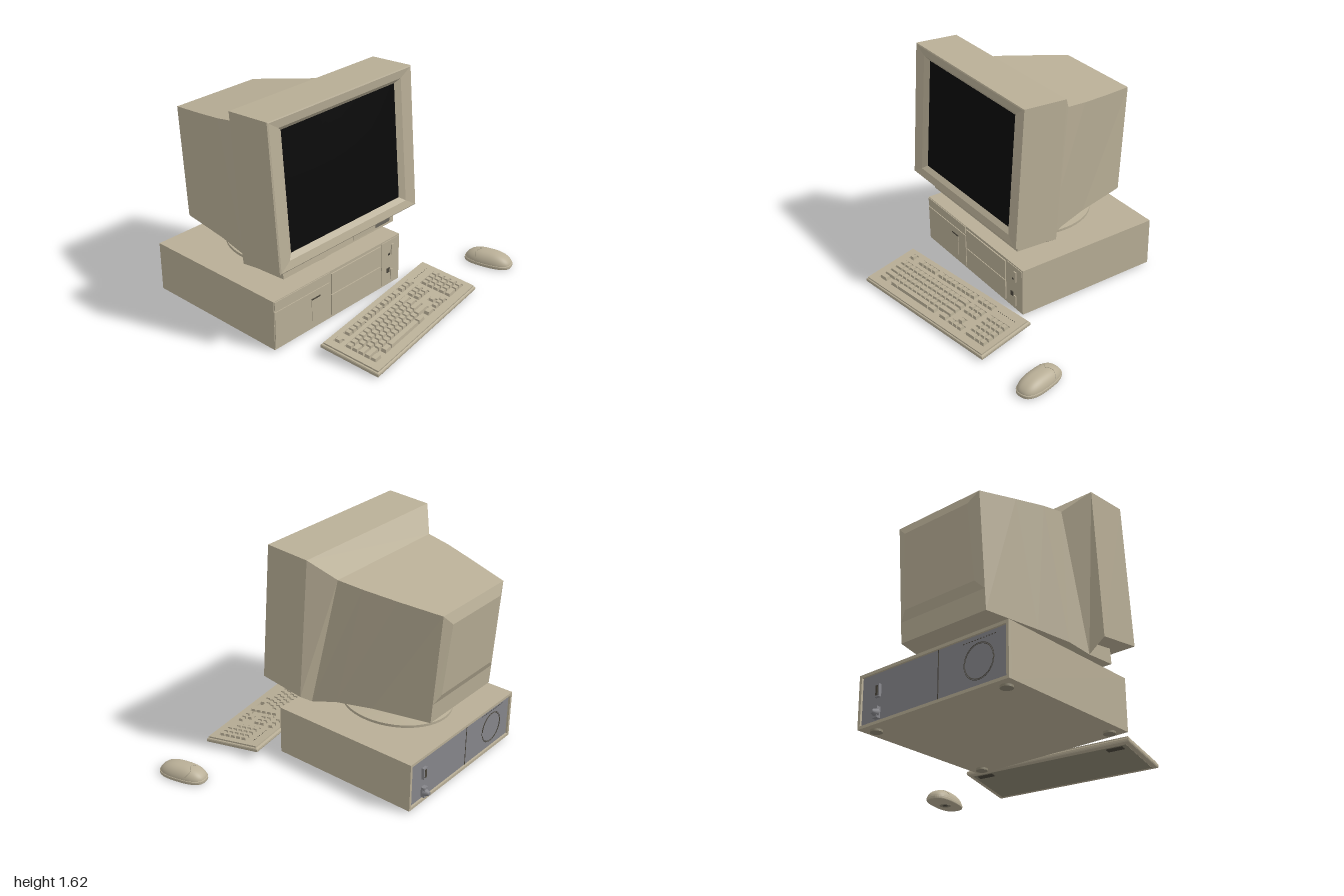
import * as THREE from 'three';
import { mergeGeometries } from 'three/addons/utils/BufferGeometryUtils.js';

const mat = (color) => new THREE.MeshStandardMaterial({ color, side: THREE.DoubleSide });
const beige = mat(0xb8ae96), shade = mat(0x8d8672), dark = mat(0x4a463c), black = mat(0x0a0a0a), grey = mat(0x85858a);

function add(parent, name, geometry, material, x = 0, y = 0, z = 0) {
  const m = new THREE.Mesh(geometry, material);
  m.name = name;
  m.position.set(x, y, z);
  parent.add(m);
  return m;
}
// Box given by its limits
function slab(parent, name, material, x0, x1, y0, y1, z0, z1) {
  return add(parent, name, new THREE.BoxGeometry(x1 - x0, y1 - y0, z1 - z0), material, (x0 + x1) / 2, (y0 + y1) / 2, (z0 + z1) / 2);
}
// Flat-faced loft through four-cornered sections, front to back:
// [centre x, half width top, half width bottom, y top, z top, y bottom, z bottom]
function loft(sections, frontCap, backCap) {
  const rings = sections.map(([c, ht, hb, yt, zt, yb, zb]) => [[c - hb, yb, zb], [c + hb, yb, zb], [c + ht, yt, zt], [c - ht, yt, zt]]);
  const pos = [];
  const quad = (a, b, c, d) => pos.push(...a, ...b, ...c, ...a, ...c, ...d);
  for (let i = 0; i + 1 < rings.length; i++) {
    for (let j = 0; j < 4; j++) {
      const k = (j + 1) % 4;
      quad(rings[i][j], rings[i + 1][j], rings[i + 1][k], rings[i][k]);
    }
  }
  const last = rings[rings.length - 1];
  if (frontCap) quad(...rings[0]);
  if (backCap) quad(last[3], last[2], last[1], last[0]);
  const g = new THREE.BufferGeometry();
  g.setAttribute('position', new THREE.Float32BufferAttribute(pos, 3));
  g.computeVertexNormals();
  return g;
}
function rectPath(path, x0, x1, y0, y1) {
  path.moveTo(x0, y0);
  path.lineTo(x1, y0);
  path.lineTo(x1, y1);
  path.lineTo(x0, y1);
  path.closePath();
  return path;
}

function makeMonitor() {
  const g = new THREE.Group();
  g.name = 'monitor';
  const c = -0.35;
  add(g, 'bezel', loft([
    [c, 0.515, 0.515, 1.52, 0.232, 0.71, 0.293],
    [c, 0.555, 0.555, 1.55, 0.255, 0.68, 0.322],
    [c, 0.64, 0.64, 1.607, 0.261, 0.628, 0.335],
    [c, 0.65, 0.65, 1.615, 0.257, 0.62, 0.33],
    [c, 0.65, 0.65, 1.595, -0.07, 0.575, 0],
    [c, 0.5, 0.53, 1.445, -0.2, 0.487, 0]], false, false), beige);
  // Slightly bulging glass
  const glass = new THREE.PlaneGeometry(1.03, 0.812, 12, 10), p = glass.attributes.position;
  for (let i = 0; i < p.count; i++) {
    const u = p.getX(i) / 0.515, v = p.getY(i) / 0.406;
    p.setZ(i, 0.015 * (1 - u * u) * (1 - v * v));
  }
  glass.computeVertexNormals();
  add(g, 'screen', glass, black, c, 1.115, 0.2625).rotation.x = -0.075;
  add(g, 'tubeHousing', loft([
    [c, 0.5, 0.53, 1.445, -0.2, 0.487, 0],
    [-0.365, 0.475, 0.49, 1.415, -0.37, 0.52, -0.17],
    [-0.38, 0.42, 0.43, 1.374, -0.6, 0.53, -0.42],
    [-0.4, 0.345, 0.35, 1.325, -0.88, 0.53, -0.825]], false, true), beige);
  add(g, 'rearPanel', loft([
    [-0.4, 0.345, 0.348, 1.325, -0.88, 0.67, -0.835],
    [-0.4, 0.27, 0.29, 1.25, -0.907, 0.73, -0.862]], false, true), beige);
  // Chin with its control door
  add(g, 'chin', loft([
    [c, 0.53, 0.53, 0.65, 0.222, 0.5, 0.235],
    [c, 0.53, 0.53, 0.65, -0.01, 0.487, 0]], true, true), beige);
  slab(g, 'controlDoor', beige, -0.23, 0.15, 0.515, 0.575, 0.22, 0.239);
  slab(g, 'controlWindow', mat(0x6b675e), -0.01, 0.13, 0.522, 0.568, 0.22, 0.242);
  return g;
}

function makeStand() {
  const g = new THREE.Group();
  g.name = 'swivelStand';
  const turned = (name, pts) => {
    const m = add(g, name, new THREE.LatheGeometry(pts.map(([r, y]) => new THREE.Vector2(r, y)), 48), beige, -0.365, 0, -0.32);
    m.scale.x = 0.865;
  };
  turned('standBase', [[0.41, 0.372], [0.41, 0.394]]);
  turned('standTop', [[0.41, 0.394], [0.31, 0.404], [0.25, 0.415], [0.21, 0.432], [0.19, 0.458]]);
  turned('standCollar', [[0.185, 0.458], [0.2, 0.46], [0.2, 0.473], [0.16, 0.475]]);
  turned('swivelBall', [[0.16, 0.473], [0.165, 0.484], [0.2, 0.498], [0.23, 0.515], [0.25, 0.535]]);
  return g;
}

function makeCase() {
  const g = new THREE.Group();
  g.name = 'computerCase';
  slab(g, 'caseBody', beige, -0.975, 0.245, 0.015, 0.375, -0.865, 0.236);
  const rim = rectPath(new THREE.Shape(), -0.975, 0.245, 0.015, 0.375);
  rim.holes.push(rectPath(new THREE.Path(), -0.955, 0.225, 0.035, 0.355));
  add(g, 'rearRim', new THREE.ExtrudeGeometry(rim, { depth: 0.025, bevelEnabled: false }), beige, 0, 0, -0.89);
  // Front panels, bays and switches
  slab(g, 'lowerFascia', beige, -0.97, -0.465, 0.03, 0.295, 0.23, 0.242);
  slab(g, 'upperFascia', beige, -0.97, -0.465, 0.31, 0.37, 0.23, 0.242);
  slab(g, 'upperBay', beige, -0.45, 0.045, 0.2, 0.355, 0.23, 0.245);
  slab(g, 'lowerBay', beige, -0.45, 0.045, 0.035, 0.193, 0.23, 0.245);
  slab(g, 'switchPanel', beige, 0.06, 0.24, 0.03, 0.365, 0.23, 0.241);
  slab(g, 'latch', beige, -0.64, -0.56, 0.08, 0.24, 0.23, 0.246);
  slab(g, 'latchSlot', dark, -0.64, -0.56, 0.238, 0.246, 0.23, 0.247);
  slab(g, 'powerSwitch', beige, 0.153, 0.178, 0.25, 0.33, 0.23, 0.25);
  slab(g, 'indicator', dark, 0.125, 0.145, 0.25, 0.265, 0.23, 0.243);
  slab(g, 'lock', dark, 0.11, 0.14, 0.115, 0.15, 0.23, 0.246);
  slab(g, 'resetSwitch', beige, 0.15, 0.175, 0.05, 0.13, 0.23, 0.248);
  // Rear: plate, sockets and fan grille
  slab(g, 'rearPlate', grey, -0.955, 0.225, 0.035, 0.355, -0.875, -0.86);
  slab(g, 'rearSeam', dark, -0.424, -0.418, 0.035, 0.355, -0.877, -0.86);
  slab(g, 'upperSocket', grey, 0.06, 0.1, 0.19, 0.275, -0.895, -0.86);
  slab(g, 'upperSocketHole', dark, 0.07, 0.09, 0.2, 0.265, -0.897, -0.86);
  slab(g, 'lowerSocket', grey, 0.062, 0.1, 0.05, 0.125, -0.905, -0.86);
  const plug = add(g, 'plug', new THREE.CylinderGeometry(0.013, 0.03, 0.04, 12), grey, 0.08, 0.085, -0.912);
  plug.rotation.x = -Math.PI / 2;
  for (const r of [0.115, 0.108]) add(g, 'fanRing', new THREE.TorusGeometry(r, 0.002, 4, 40), dark, -0.74, 0.19, -0.876);
  for (let i = 0; i < 12; i++) slab(g, 'vent', dark, -0.87 + i * 0.022, -0.86 + i * 0.022, 0.325, 0.33, -0.877, -0.87);
  for (const x of [-0.89, 0.16]) for (const z of [0.16, -0.81])
    add(g, 'caseFoot', new THREE.CylinderGeometry(0.04, 0.04, 0.02, 20), shade, x, 0.01, z);
  return g;
}

function makeKeyboard() {
  const g = new THREE.Group();
  g.name = 'keyboard';
  g.position.set(-0.16, 0.056, 0.61);
  g.rotation.set(0.13, 0.145, 0, 'YXZ');
  // Tray with a bevelled edge and a deck pierced by key wells
  const tray = new THREE.ExtrudeGeometry(rectPath(new THREE.Shape(), -0.613, 0.613, -0.21, 0.21),
    { depth: 0.013, bevelSize: 0.012, bevelThickness: 0.01, bevelSegments: 2 });
  add(g, 'tray', tray.rotateX(-Math.PI / 2), beige, 0, -0.012, 0);
  const deck = rectPath(new THREE.Shape(), -0.613, 0.613, -0.21, 0.21);
  const keys = [];
  // One key, narrower at the top
  const key = (x0, x1, z0, z1) => {
    const b = new THREE.BoxGeometry(x1 - x0 - 0.005, 0.026, z1 - z0 - 0.005), p = b.attributes.position;
    for (let i = 0; i < p.count; i++) if (p.getY(i) > 0) p.setXYZ(i, p.getX(i) - Math.sign(p.getX(i)) * 0.005, p.getY(i), p.getZ(i) * 0.75 - 0.001);
    b.computeVertexNormals();
    keys.push(b.translate((x0 + x1) / 2, 0.022, (z0 + z1) / 2));
  };
  // A well filled with rows of keys; each row lists relative key widths, negative for a gap
  const block = (x0, x1, z0, z1, rows) => {
    deck.holes.push(rectPath(new THREE.Path(), x0 - 0.004, x1 + 0.004, -z1 - 0.004, -z0 + 0.004));
    const d = (z1 - z0) / rows.length;
    rows.forEach((row, r) => {
      const unit = (x1 - x0) / row.reduce((s, w) => s + Math.abs(w), 0);
      let x = x0;
      for (const w of row) {
        const next = x + Math.abs(w) * unit;
        if (w > 0) key(x, next, z0 + r * d, z0 + (r + 1) * d);
        x = next;
      }
    });
  };
  const ones = (n) => Array(n).fill(1);
  block(-0.55, -0.505, -0.172, -0.126, [ones(1)]);
  for (const x of [-0.445, -0.227, -0.024]) block(x, x + 0.19, -0.168, -0.122, [ones(4)]);
  block(0.2, 0.345, -0.168, -0.122, [ones(3)]);
  block(-0.55, 0.175, -0.085, 0.15, [[...ones(13), 2], [1.5, ...ones(12), 1.5], [1.8, ...ones(11), 2.2],
    [2.3, ...ones(10), 2.7], [1.5, -1, 1.5, 7, 1.5, -1, 1.5]]);
  block(0.2, 0.335, -0.085, 0.009, [ones(3), ones(3)]);
  block(0.245, 0.29, 0.056, 0.099, [ones(1)]);
  block(0.2, 0.335, 0.108, 0.15, [ones(3)]);
  block(0.38, 0.565, -0.085, 0.15, [ones(4), ones(4), ones(4), ones(4), [2, 1, 1]]);
  add(g, 'deck', new THREE.ExtrudeGeometry(deck, { depth: 0.012, bevelEnabled: false }).rotateX(-Math.PI / 2), beige, 0, 0.01, 0);
  add(g, 'keys', mergeGeometries(keys), beige);
  for (let i = 0; i < 9; i++) slab(g, 'statusLight', dark, 0.39 + i * 0.02, 0.398 + i * 0.02, 0.02, 0.0235, -0.146, -0.142);
  // Underside plate and folded feet
  slab(g, 'bottomPlate', shade, -0.59, 0.59, -0.024, -0.02, -0.19, 0.19);
  for (const x of [-0.5, 0.5]) slab(g, 'foldingFoot', dark, x - 0.06, x + 0.06, -0.028, -0.02, -0.18, -0.14);
  return g;
}

function makeMouse() {
  const g = new THREE.Group();
  g.name = 'mouse';
  g.position.set(0.885, 0, 0.563);
  g.rotation.y = 0.23;
  const soft = (v) => Math.sign(v) * Math.abs(v) ** 0.75;
  const outline = (a, r) => [0.088 * r * soft(Math.cos(a)), 0.174 * r * soft(Math.sin(a))];
  // Domed shell
  const shell = new THREE.SphereGeometry(1, 40, 16, 0, Math.PI * 2, 0, Math.PI / 2), p = shell.attributes.position;
  const height = (r) => 0.027 + 0.072 * Math.max(0, 1 - r ** 2.6) ** 0.6;
  for (let i = 0; i < p.count; i++) {
    const r = Math.min(1, Math.hypot(p.getX(i), p.getZ(i)));
    const [x, z] = outline(Math.atan2(p.getZ(i), p.getX(i)), r);
    p.setXYZ(i, x, height(r), z);
  }
  shell.computeVertexNormals();
  add(g, 'shell', shell, beige);
  // Base
  const ring = Array.from({ length: 40 }, (_, i) => new THREE.Vector2(...outline(i * Math.PI / 20, 1.02)));
  const base = new THREE.ExtrudeGeometry(new THREE.Shape(ring), { depth: 0.014, bevelSize: 0.006, bevelThickness: 0.006, bevelSegments: 2, bevelOffset: -0.004 });
  add(g, 'base', base.rotateX(-Math.PI / 2), beige, 0, 0.009, 0);
  // Curved seam behind the buttons
  const seam = [];
  for (let i = -8; i <= 8; i++) {
    const a = -Math.PI / 2 + i / 8 * 1.3, r = 0.35 + 0.6 * Math.abs(i / 8) ** 1.5, [x, z] = outline(a, r);
    seam.push(new THREE.Vector3(x, height(r), z));
  }
  add(g, 'buttonSeam', new THREE.TubeGeometry(new THREE.CatmullRomCurve3(seam), 32, 0.0012, 5), shade);
  add(g, 'ballRing', new THREE.CylinderGeometry(0.042, 0.042, 0.006, 24), shade, 0, 0.003, 0.01);
  add(g, 'ball', new THREE.CylinderGeometry(0.02, 0.02, 0.006, 16), dark, 0, 0.0025, 0.01);
  return g;
}

export function createModel() {
  const model = new THREE.Group();
  model.name = 'desktopComputer';
  model.add(makeMonitor(), makeStand(), makeCase(), makeKeyboard(), makeMouse());
  return model;
}
